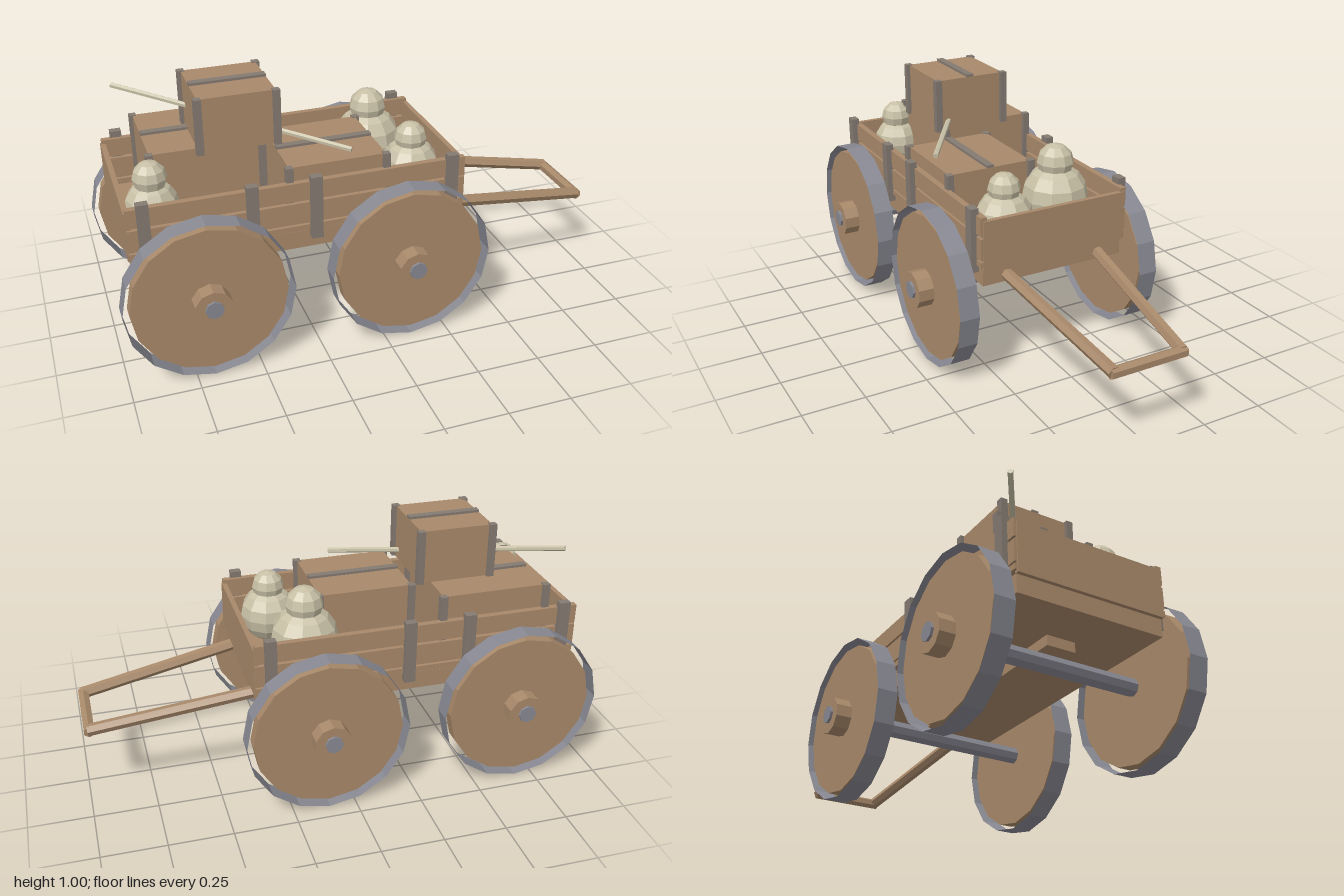
import * as THREE from 'three';

const mat = (name, color, side = THREE.FrontSide) => {
  const m = new THREE.MeshStandardMaterial({ color, side, flatShading: true });
  m.name = name;
  return m;
};

export function createModel() {
  const wood = mat('wood', 0xa8896a);
  const trim = mat('weathered trim', 0x847a71);
  const iron = mat('iron', 0x888892, THREE.DoubleSide);
  const cloth = mat('sackcloth', 0xc8c0a6);
  const root = new THREE.Group();
  root.name = 'cart';

  const add = (name, geo, material, parent = root) => {
    const m = new THREE.Mesh(geo, material);
    m.name = name;
    parent.add(m);
    return m;
  };
  // Box given by its lower and upper corners
  const box = (name, a, b, material, parent = root) => {
    const m = add(name, new THREE.BoxGeometry(b[0] - a[0], b[1] - a[1], b[2] - a[2]), material, parent);
    m.position.set((a[0] + b[0]) / 2, (a[1] + b[1]) / 2, (a[2] + b[2]) / 2);
    return m;
  };
  // Round bar between two points
  const bar = (name, a, b, r, sides, material) => {
    const p = new THREE.Vector3(...a), q = new THREE.Vector3(...b);
    const d = q.clone().sub(p);
    const m = add(name, new THREE.CylinderGeometry(r, r, d.length(), sides), material);
    m.position.copy(p).add(q).multiplyScalar(0.5);
    m.quaternion.setFromUnitVectors(new THREE.Vector3(0, 1, 0), d.normalize());
    return m;
  };

  // Bed, spine beam and end boards
  box('bedFloor', [-0.93, 0.4, -0.303], [0.35, 0.472, 0.303], wood);
  box('spineBeam', [-0.75, 0.355, -0.06], [0.2, 0.395, 0.06], wood);
  box('frontBoard', [0.345, 0.47, -0.305], [0.365, 0.665, 0.305], wood);
  box('rearBoard', [-0.945, 0.47, -0.305], [-0.925, 0.665, 0.305], wood);

  // Side planks and posts
  for (const s of [-1, 1]) {
    const z = [0.29 * s, 0.315 * s].sort((a, b) => a - b);
    for (const [y0, y1] of [[0.48, 0.502], [0.51, 0.596], [0.606, 0.68]])
      box('sidePlank', [-0.94, y0, z[0]], [0.36, y1, z[1]], wood);
    const pz = [0.305 * s, 0.337 * s].sort((a, b) => a - b);
    for (const x of [-0.88, -0.485, -0.243, 0.302])
      box('sidePost', [x - 0.022, 0.45, pz[0]], [x + 0.022, 0.705, pz[1]], trim);
  }

  // Axles and wheels
  const wheelY = 0.322;
  for (const x of [-0.68, 0.105]) {
    bar('axle', [x, wheelY, -0.495], [x, wheelY, 0.495], 0.035, 8, iron);
    for (const s of [-1, 1]) {
      const wheel = new THREE.Group();
      wheel.name = 'wheel';
      wheel.position.set(x, 0.32, 0.395 * s);
      wheel.rotation.x = s * Math.PI / 2;
      root.add(wheel);
      add('wheelRim', new THREE.CylinderGeometry(0.32, 0.32, 0.08, 16, 1, true), iron, wheel);
      add('wheelDisc', new THREE.CylinderGeometry(0.294, 0.294, 0.055, 16), wood, wheel);
      add('wheelHub', new THREE.CylinderGeometry(0.073, 0.073, 0.11, 10), wood, wheel).position.y = 0.035;
    }
  }

  // Pulling frame
  for (const s of [-1, 1])
    bar('shaft', [0.34, 0.428, 0.202 * s], [0.982, 0.325, 0.142 * s], 0.024, 6, wood);
  bar('pullHandle', [0.977, 0.323, -0.155], [0.977, 0.323, 0.155], 0.023, 6, wood);

  // Crates with corner posts and a lid strip
  const crate = (x0, x1, z0, z1, y0, y1) => {
    const g = new THREE.Group();
    g.name = 'crate';
    root.add(g);
    box('crateBody', [x0, y0, z0], [x1, y1, z1], wood, g);
    for (const x of [x0, x1]) for (const z of [z0, z1])
      box('cratePost', [x - 0.014, y0, z - 0.014], [x + 0.014, y1 + 0.003, z + 0.014], trim, g);
    const zm = (z0 + z1) / 2;
    box('lidStrip', [x0, y1, zm - 0.015], [x1, y1 + 0.01, zm + 0.015], trim, g);
  };
  crate(-0.81, -0.385, -0.288, 0.095, 0.47, 0.774);
  crate(-0.335, 0.045, -0.07, 0.287, 0.47, 0.734);
  crate(-0.63, -0.337, -0.149, 0.149, 0.775, 0.99);

  // Rod stuck through the top crate
  bar('rod', [-0.88, 0.915, -0.28], [-0.09, 0.768, 0.28], 0.011, 6, cloth);

  // Tied sacks: a round body and a smaller tuft
  for (const [x, z, y, r, ty, tr] of [
    [0.125, -0.138, 0.6, 0.135, 0.742, 0.075],
    [0.205, 0.135, 0.588, 0.115, 0.708, 0.065],
    [-0.82, 0.138, 0.592, 0.102, 0.708, 0.065],
  ]) {
    const sack = new THREE.Group();
    sack.name = 'sack';
    sack.position.set(x, 0, z);
    root.add(sack);
    add('sackBody', new THREE.SphereGeometry(r, 10, 8), cloth, sack).position.y = y;
    add('sackTuft', new THREE.SphereGeometry(tr, 10, 6), cloth, sack).position.y = ty;
  }
  return root;
}
